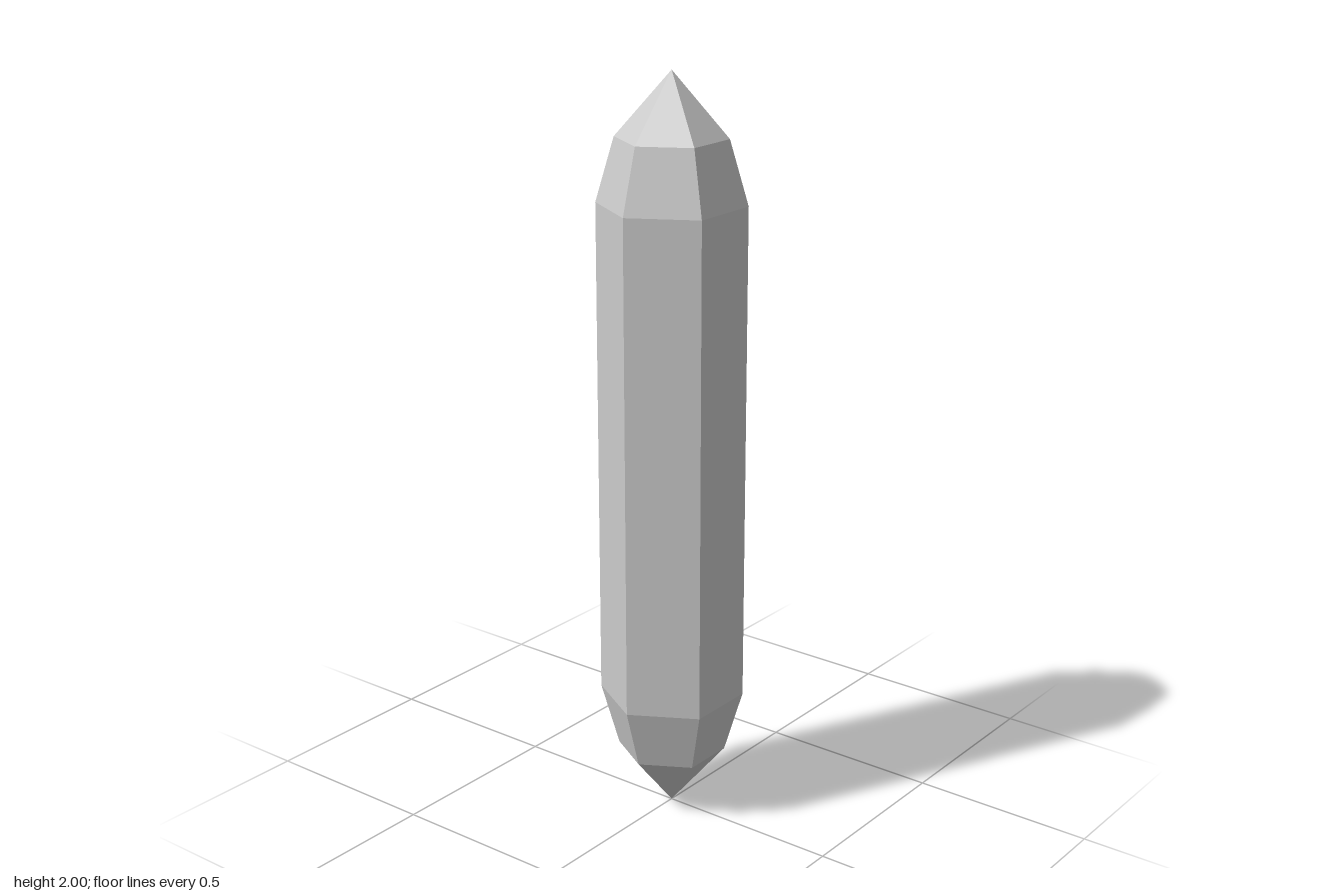
import * as THREE from 'three';

// Six-sided crystal: straight shaft with a two-step taper to a point at each end
export function createModel() {
  const group = new THREE.Group();
  group.name = 'crystal';

  const radius = 0.1925;
  const lowerHalf = [[0, 0], [radius * 0.75, 1 / 6], [radius, 1 / 3]];
  const upperHalf = lowerHalf.map(([r, y]) => [r, 2 - y]).reverse();
  const profile = [...lowerHalf, ...upperHalf].map(([r, y]) => new THREE.Vector2(r, y));

  // Start a sixth-turn edge on the x axis so flat sides face front and back
  const geometry = new THREE.LatheGeometry(profile, 6, Math.PI / 6).toNonIndexed();
  geometry.computeVertexNormals();

  const material = new THREE.MeshStandardMaterial({ color: 0xcccccc, flatShading: true });
  const body = new THREE.Mesh(geometry, material);
  body.name = 'crystalBody';
  group.add(body);
  return group;
}
